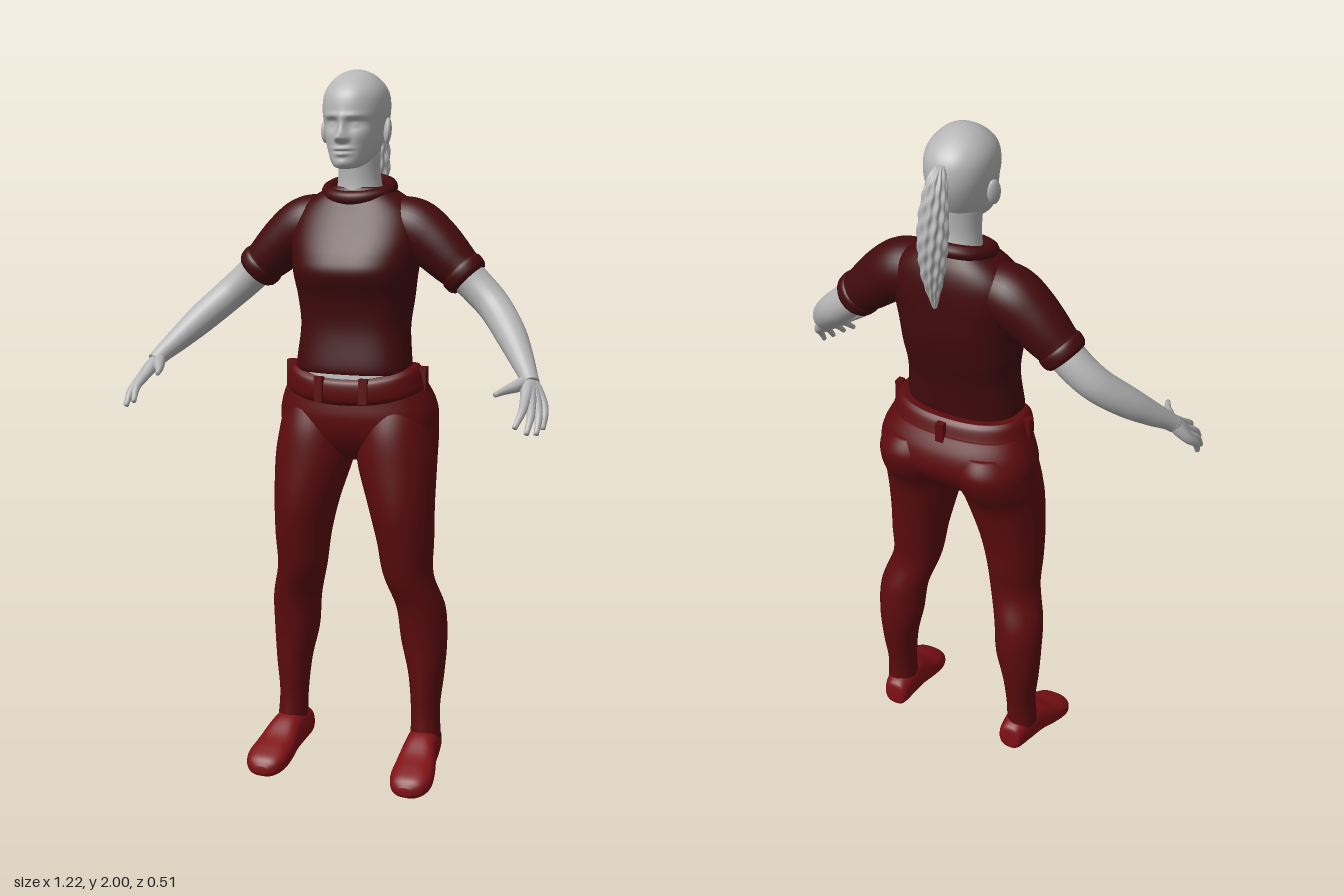
import * as THREE from 'three';

const paint = (name, color) => {
  const m = new THREE.MeshStandardMaterial({ color });
  m.name = name;
  return m;
};

// Smooth interpolation through rows of numbers, u from 0 to 1
function sample(rows, u) {
  const f = u * (rows.length - 1);
  const i = Math.min(Math.floor(f), rows.length - 2);
  const t = f - i;
  const at = (k) => rows[Math.min(Math.max(k, 0), rows.length - 1)];
  return rows[i].map((b, k) => {
    const a = at(i - 1)[k], c = at(i + 1)[k], d = at(i + 2)[k];
    return b + 0.5 * t * (c - a + t * (2 * a - 5 * b + 4 * c - d + t * (3 * (b - c) + d - a)));
  });
}

// Closed skin over a list of rings, capped at both ends
function skinOver(rings) {
  const n = rings[0].length, pos = [], index = [];
  rings.forEach((ring) => ring.forEach((p) => pos.push(p.x, p.y, p.z)));
  for (let i = 0; i < rings.length - 1; i++) {
    for (let j = 0; j < n; j++) {
      const a = i * n + j, b = i * n + (j + 1) % n;
      index.push(a, a + n, b, b, a + n, b + n);
    }
  }
  [0, rings.length - 1].forEach((r) => {
    const c = new THREE.Vector3();
    rings[r].forEach((p) => c.addScaledVector(p, 1 / n));
    const id = pos.length / 3;
    pos.push(c.x, c.y, c.z);
    for (let j = 0; j < n; j++) {
      const a = r * n + j, b = r * n + (j + 1) % n;
      if (r === 0) index.push(id, a, b);
      else index.push(id, b, a);
    }
  });
  const g = new THREE.BufferGeometry();
  g.setAttribute('position', new THREE.Float32BufferAttribute(pos, 3));
  g.setIndex(index);
  g.computeVertexNormals();
  return g;
}

// Horizontal sections, rising: [y, centre x, half width, front z, back z]
function loft(rows, { power = 2, steps = 40, segs = 48, warp = null } = {}) {
  const rings = [];
  const bend = (v) => Math.sign(v) * Math.pow(Math.abs(v), 2 / power);
  for (let i = 0; i <= steps; i++) {
    const [y, cx, rx, zf, zb] = sample(rows, i / steps);
    const ring = [];
    for (let j = 0; j < segs; j++) {
      const t = (j / segs) * Math.PI * 2;
      const c = bend(Math.cos(t)), s = bend(Math.sin(t));
      const p = new THREE.Vector3(cx + rx * c, y, (zf + zb) / 2 + (s * (zf - zb)) / 2);
      if (warp) warp(p, s, t, cx, (zf + zb) / 2);
      ring.push(p);
    }
    rings.push(ring);
  }
  return skinOver(rings);
}

// Limb along a path of [x, y, z, radius]; s mirrors it
function limb(rows, s = 1, steps = 24, segs = 20) {
  const pts = rows.map((r) => new THREE.Vector3(r[0] * s, r[1], r[2]));
  const curve = new THREE.CatmullRomCurve3(pts);
  const { normals, binormals } = curve.computeFrenetFrames(steps);
  const rings = [];
  for (let i = 0; i <= steps; i++) {
    const p = curve.getPoint(i / steps);
    const r = sample(rows, i / steps)[3];
    const ring = [];
    for (let j = 0; j < segs; j++) {
      const t = (j / segs) * Math.PI * 2;
      ring.push(p.clone().addScaledVector(normals[i], r * Math.cos(t)).addScaledVector(binormals[i], -r * Math.sin(t)));
    }
    rings.push(ring);
  }
  return skinOver(rings);
}

export function createModel() {
  const model = new THREE.Group();
  const skin = paint('grey skin', 0xb6b6b6);
  const shirt = paint('dark maroon shirt', 0x420a0d);
  const cloth = paint('maroon trousers', 0x5c0b0e);
  const shoe = paint('red shoes', 0x7e1015);
  const add = (name, geometry, material) => {
    const m = new THREE.Mesh(geometry, material);
    m.name = name;
    model.add(m);
    return m;
  };

  // Face relief: [x, y, spread x, spread y, height], mirrored where x > 0
  const relief = [
    [0, 1.845, 0.008, 0.02, 0.014], [0, 1.822, 0.009, 0.009, 0.026], [0.011, 1.817, 0.006, 0.005, 0.012],
    [0.034, 1.857, 0.015, 0.01, -0.013], [0.034, 1.855, 0.01, 0.006, 0.007], [0.032, 1.877, 0.018, 0.006, 0.006],
    [0, 1.791, 0.016, 0.004, 0.01], [0, 1.777, 0.014, 0.005, 0.01], [0, 1.784, 0.018, 0.002, -0.005],
    [0, 1.753, 0.016, 0.009, 0.006], [0.045, 1.825, 0.014, 0.014, 0.004],
  ];
  const sculpt = (p, s) => {
    if (s <= 0) return;
    let dz = 0;
    for (const [x, y, sx, sy, h] of relief) {
      for (const side of x > 0 ? [1, -1] : [1]) {
        dz += h * Math.exp(-0.5 * (((p.x - side * x) / sx) ** 2 + ((p.y - y) / sy) ** 2));
      }
    }
    p.z += dz * Math.min(1, s * 2);
  };
  add('head', loft([
    [1.737, 0, 0.015, 0.045, 0.005], [1.742, 0, 0.034, 0.053, -0.03], [1.757, 0, 0.05, 0.057, -0.08],
    [1.78, 0, 0.063, 0.057, -0.125], [1.81, 0, 0.074, 0.055, -0.148], [1.85, 0, 0.082, 0.053, -0.167],
    [1.89, 0, 0.088, 0.055, -0.175], [1.93, 0, 0.086, 0.047, -0.17], [1.96, 0, 0.073, 0.025, -0.15],
    [1.985, 0, 0.048, -0.008, -0.115], [1.997, 0, 0.022, -0.037, -0.083], [2.0, 0, 0.003, -0.057, -0.063],
  ], { power: 2.15, steps: 110, segs: 128, warp: sculpt }), skin);
  add('neck', loft([
    [1.63, 0, 0.08, -0.01, -0.16], [1.68, 0, 0.064, -0.02, -0.148], [1.73, 0, 0.058, -0.02, -0.137],
    [1.8, 0, 0.06, -0.01, -0.14],
  ]), skin);

  // Ponytail with ridged strands
  const strands = (p, s, t, cx, cz) => {
    const k = 1 + 0.09 * Math.sin(11 * t + p.y * 25) + 0.05 * Math.sin(p.y * 140 + 5 * t);
    p.x = cx + (p.x - cx) * k;
    p.z = cz + (p.z - cz) * k;
  };
  add('ponytail', loft([
    [1.555, 0, 0.005, -0.2, -0.212], [1.62, 0, 0.02, -0.188, -0.235], [1.68, 0, 0.03, -0.18, -0.248],
    [1.76, 0, 0.036, -0.173, -0.252], [1.85, 0, 0.032, -0.168, -0.235], [1.91, 0, 0.022, -0.163, -0.212],
    [1.935, 0, 0.01, -0.155, -0.185],
  ], { segs: 72, steps: 70, warp: strands }), skin);

  // Shirt, with a rounded collar
  add('shirtBody', loft([
    [1.178, 0, 0.16, 0.058, -0.14], [1.2, 0, 0.164, 0.06, -0.143], [1.3, 0, 0.155, 0.05, -0.157],
    [1.38, 0, 0.163, 0.06, -0.178], [1.45, 0, 0.172, 0.087, -0.19], [1.5, 0, 0.18, 0.075, -0.192],
    [1.56, 0, 0.187, 0.042, -0.192], [1.61, 0, 0.175, 0.017, -0.188], [1.65, 0, 0.14, -0.002, -0.176],
    [1.685, 0, 0.085, -0.025, -0.155],
  ], { power: 2.5, steps: 50, segs: 64 }), shirt);
  const collarPath = [];
  for (let i = 0; i < 16; i++) {
    const t = (i / 16) * Math.PI * 2, c = Math.cos(t);
    collarPath.push(new THREE.Vector3(0.088 * Math.sin(t), 1.678 - 0.022 * c, -0.082 + 0.076 * c));
  }
  add('collar', new THREE.TubeGeometry(new THREE.CatmullRomCurve3(collarPath, true), 64, 0.019, 12, true), shirt);
  add('belly', loft([[1.1, 0, 0.16, 0.045, -0.13], [1.16, 0, 0.157, 0.054, -0.13], [1.23, 0, 0.14, 0.04, -0.12]], { power: 2.4 }), skin);

  // Trousers: hips, waistband and its loops
  add('hips', loft([
    [0.925, 0, 0.07, -0.02, -0.09], [0.955, 0, 0.15, 0.015, -0.15], [1.0, 0, 0.218, 0.042, -0.195],
    [1.05, 0, 0.23, 0.053, -0.218], [1.1, 0, 0.221, 0.05, -0.212], [1.15, 0, 0.198, 0.045, -0.185],
  ], { power: 2.3, segs: 64 }), cloth);
  add('waistband', loft([
    [1.122, 0, 0.196, 0.05, -0.185], [1.135, 0, 0.204, 0.062, -0.19], [1.16, 0, 0.199, 0.066, -0.182],
    [1.185, 0, 0.192, 0.064, -0.173], [1.198, 0, 0.182, 0.052, -0.162],
  ], { power: 2.3, segs: 64, warp: (p, s) => { p.y -= s > 0 ? 0.032 * s * s : 0.006 * s * s; } }), cloth);
  for (const [x, y, z, turn] of [[0.065, 1.135, 0.062, 0.1], [-0.065, 1.135, 0.062, -0.1], [0, 1.155, -0.186, 0], [0.199, 1.16, -0.06, Math.PI / 2], [-0.199, 1.16, -0.06, Math.PI / 2]]) {
    const loop = add('beltLoop', new THREE.BoxGeometry(0.024, 0.07, 0.018), cloth);
    loop.position.set(x, y, z);
    loop.rotation.y = turn;
  }

  for (const s of [1, -1]) {
    const side = s > 0 ? 'left' : 'right';
    const ear = add(side + 'Ear', new THREE.SphereGeometry(1, 20, 14), skin);
    ear.scale.set(0.011, 0.036, 0.021);
    ear.position.set(0.089 * s, 1.837, -0.06);
    ear.rotation.set(-0.2, 0.35 * s, 0);

    // Sleeve with a cuff
    add(side + 'Sleeve', limb([
      [0.09, 1.59, -0.09, 0.075], [0.16, 1.572, -0.09, 0.082], [0.215, 1.535, -0.089, 0.076],
      [0.262, 1.492, -0.088, 0.068], [0.3, 1.458, -0.087, 0.06],
    ], s, 30, 32), shirt);
    add(side + 'Cuff', limb([
      [0.288, 1.469, -0.087, 0.059], [0.296, 1.461, -0.087, 0.065], [0.312, 1.445, -0.087, 0.063], [0.319, 1.438, -0.087, 0.056],
    ], s, 12, 32), shirt);

    // Arm, palm and digits
    add(side + 'Arm', limb([
      [0.29, 1.467, -0.086, 0.05], [0.345, 1.416, -0.085, 0.048], [0.395, 1.37, -0.07, 0.046], [0.46, 1.302, -0.012, 0.042],
      [0.51, 1.243, 0.05, 0.032], [0.537, 1.21, 0.088, 0.025], [0.548, 1.193, 0.105, 0.024],
    ], s, 36, 24), skin);
    const hand = [
      ['IndexFinger', [0.55, 1.16, 0.165], [0.545, 1.1, 0.245]],
      ['MiddleFinger', [0.563, 1.152, 0.155], [0.574, 1.085, 0.235]],
      ['RingFinger', [0.575, 1.147, 0.14], [0.592, 1.08, 0.205]],
      ['LittleFinger', [0.585, 1.147, 0.122], [0.598, 1.087, 0.165]],
    ];
    for (const [name, a, b] of hand) {
      const mid = a.map((v, k) => (v + b[k]) / 2 + [0.006, 0.004, 0.004][k]);
      add(side + name, limb([
        [0.54, 1.208, 0.09, 0.016], [...a, 0.016].map((v, k) => (k < 3 ? v * 0.5 + [0.54, 1.208, 0.09][k] * 0.5 : 0.018)),
        [...a, 0.014], [...mid, 0.0105], [...b, 0.007],
      ], s, 20, 12), skin);
    }
    add(side + 'Thumb', limb([[0.536, 1.2, 0.1, 0.017], [0.518, 1.19, 0.14, 0.016], [0.5, 1.184, 0.175, 0.011], [0.484, 1.178, 0.215, 0.007]], s, 16, 12), skin);

    // Trouser leg
    add(side + 'Leg', loft([
      [0.115, 0.208, 0.043, -0.025, -0.127], [0.2, 0.205, 0.041, -0.03, -0.132], [0.3, 0.205, 0.051, -0.025, -0.147],
      [0.4, 0.197, 0.066, -0.02, -0.156], [0.5, 0.19, 0.07, -0.004, -0.15], [0.6, 0.162, 0.071, 0.03, -0.123],
      [0.7, 0.155, 0.08, 0.052, -0.13], [0.8, 0.143, 0.093, 0.064, -0.14], [0.92, 0.125, 0.112, 0.061, -0.165],
      [1.0, 0.118, 0.113, 0.055, -0.209], [1.06, 0.115, 0.105, 0.04, -0.224], [1.11, 0.11, 0.08, 0.02, -0.2],
    ].map((r) => [r[0], r[1] * s, ...r.slice(2)]), { steps: 70 }), cloth);

    // Shoe, swept heel to toe: [z, x, half width, sole y, top y]
    const foot = loft([
      [-0.148, 0.2, 0.018, 0.06, 0.1], [-0.138, 0.2, 0.036, 0.043, 0.128], [-0.08, 0.205, 0.046, 0.034, 0.145],
      [-0.02, 0.21, 0.05, 0.023, 0.135], [0.04, 0.216, 0.059, 0.011, 0.098], [0.09, 0.22, 0.061, 0.003, 0.076],
      [0.125, 0.22, 0.046, 0.002, 0.057], [0.14, 0.218, 0.018, 0.012, 0.035],
    ].map(([z, x, w, low, high]) => [z, x * s, w, -low, -high]), { power: 2.5 });
    add(side + 'Shoe', foot.rotateX(Math.PI / 2), shoe);
  }
  return model;
}
